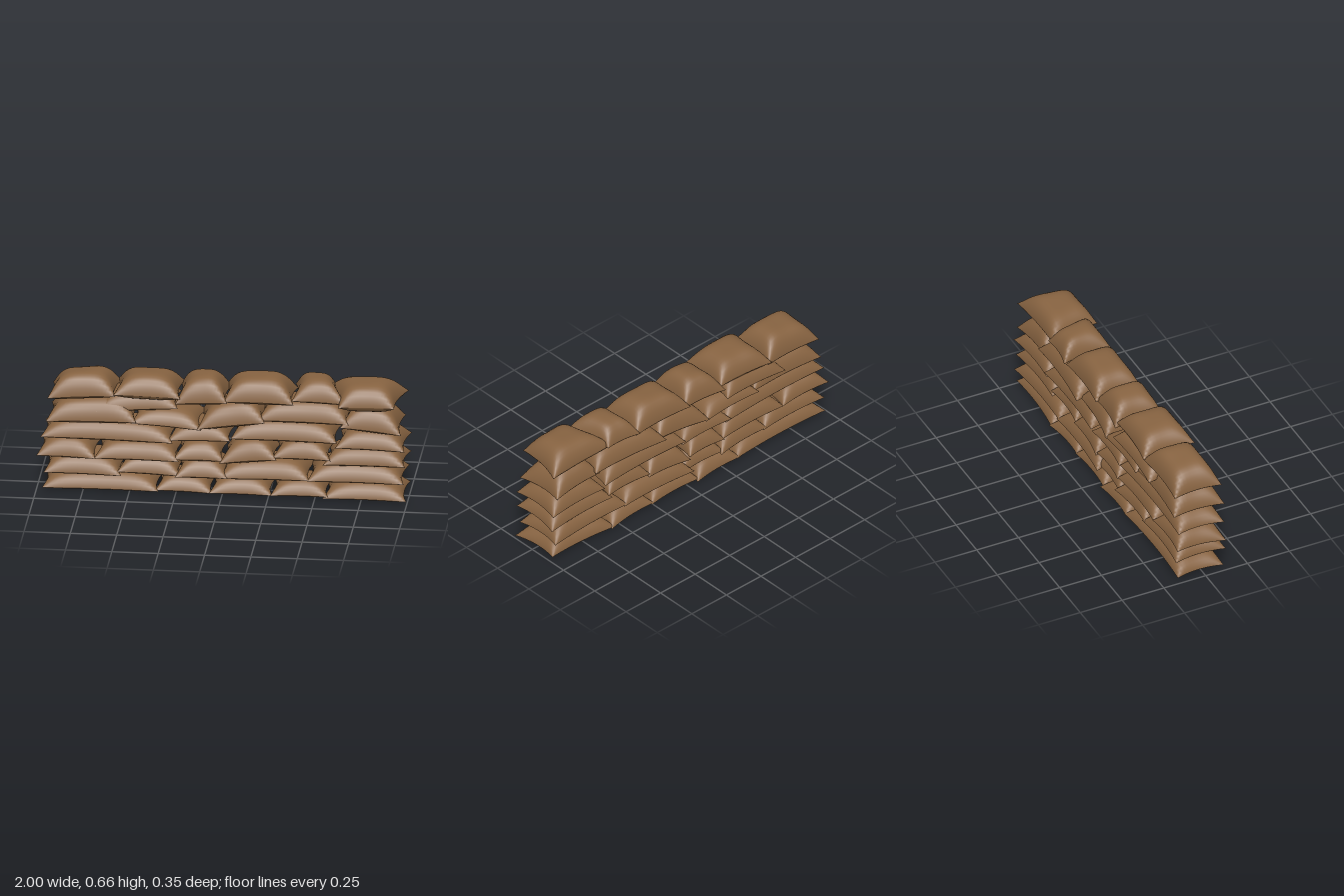
import * as THREE from 'three';
import { mergeGeometries } from 'three/addons/utils/BufferGeometryUtils.js';

// small seeded generator for slight irregularity, returns -1..1
function makeRandom(seed) {
  return () => {
    seed = (seed * 16807) % 2147483647;
    return (seed / 2147483647) * 2 - 1;
  };
}

// One filled sack: a domed upper sheet and a shallow lower sheet meeting at a pointed seam.
// x0..x1 length, y0..y1 height, tilt = rise from left to right end,
// skewL / skewR = how far each end leans forward along x, seam = seam height share
function sackGeometry({ x0, x1, y0, y1, tilt = 0, skewL = 0, skewR = 0, seam = 0.17, dz = 0 }, random) {
  const halfX = (x1 - x0) / 2 + 0.008;
  const halfZ = 0.145;
  const midX = (x0 + x1) / 2;
  const midZ = -0.015 + dz;
  const seamY = y0 + (y1 - y0) * seam;
  const power = Math.min(6, Math.max(3.2, (halfX / 0.17) * 3.4));
  // jitter of the four corners, blended across the sack
  const corners = [0, 1, 2, 3].map(() => [random() * 0.008, random() * 0.008, random() * 0.012]);
  const lump = random() * 2;

  const sheet = (top) => {
    const g = new THREE.PlaneGeometry(2, 2, 24, 18);
    g.rotateX(top ? -Math.PI / 2 : Math.PI / 2);
    const p = g.attributes.position;
    for (let i = 0; i < p.count; i++) {
      const u = Math.sin((p.getX(i) * Math.PI) / 2);
      const v = Math.sin((p.getZ(i) * Math.PI) / 2);
      const fill = Math.pow(Math.max(0, (1 - Math.abs(u) ** power) * (1 - v ** 4)), 0.68);
      // edges drawn in between the corners
      let x = midX + u * (halfX - 0.022 * (1 - v * v));
      let z = midZ + v * (halfZ - 0.014 * (1 - u * u));
      x += v * ((skewL * (1 - u)) / 2 + (skewR * (1 + u)) / 2);
      let y = seamY + (tilt * u) / 2;
      const wave = 1 + 0.04 * Math.sin(u * 3 + lump) * Math.cos(v * 2 - lump);
      y += top ? (y1 - seamY) * fill * wave : -(seamY - y0) * fill;
      corners.forEach(([cx, cy, cz], k) => {
        const w = ((1 + (k & 1 ? u : -u)) * (1 + (k & 2 ? v : -v))) / 4;
        x += cx * w;
        y += cy * w;
        z += cz * w;
      });
      p.setXYZ(i, x, Math.max(0, y), z);
    }
    g.computeVertexNormals();
    return g;
  };
  return mergeGeometries([sheet(true), sheet(false)]);
}

export function createModel() {
  const model = new THREE.Group();
  model.name = 'sandbagWall';
  const burlap = new THREE.MeshStandardMaterial({ color: 0x876341 });
  burlap.name = 'brownBurlap';
  const random = makeRandom(4711);

  // courses from the ground up: shared height, then [start, end, extras] for each sack
  const courses = [
    { y0: 0.005, y1: 0.102, sacks: [
      [-0.965, -0.345], [-0.36, -0.06], [-0.06, 0.27], [0.27, 0.565], [0.555, 0.985]] },
    { y0: 0.095, y1: 0.205, sacks: [
      [-0.955, -0.55], [-0.555, -0.23, { tilt: -0.01 }], [-0.24, 0.03, { dz: 0.02 }],
      [-0.01, 0.47], [0.465, 0.975]] },
    { y0: 0.188, y1: 0.298, sacks: [
      [-0.99, -0.685], [-0.68, -0.24], [-0.25, 0.0], [0.0, 0.29, { tilt: 0.02, y1: 0.315 }],
      [0.28, 0.58, { y0: 0.215, y1: 0.325 }], [0.56, 0.985]] },
    { y0: 0.29, y1: 0.402, sacks: [
      [-0.965, -0.27], [-0.28, 0.045, { y0: 0.3 }],
      [0.05, 0.62, { y0: 0.315, y1: 0.43, dz: -0.01 }], [0.62, 0.985]] },
    { y0: 0.388, y1: 0.525, sacks: [
      [-0.94, -0.47], [-0.48, -0.12, { y0: 0.378, y1: 0.475, tilt: -0.01 }],
      [-0.67, -0.25, { y0: 0.455, y1: 0.565, tilt: 0.03, dz: -0.015 }],
      [-0.12, 0.22, { y0: 0.39, y1: 0.53, tilt: 0.05 }],
      [0.2, 0.68, { y0: 0.42, y1: 0.545, dz: -0.015 }], [0.65, 0.955, { tilt: -0.02 }]] },
    { y0: 0.512, y1: 0.655, sacks: [
      [-0.935, -0.575, { tilt: 0.02 }], [-0.58, -0.23, { y1: 0.662, y0: 0.525, seam: 0.25 }],
      [-0.245, 0.03, { tilt: 0.01, y1: 0.66 }], [0.015, 0.385, { y1: 0.662, y0: 0.52 }],
      [0.375, 0.62, { skewR: 0.04, y1: 0.66, y0: 0.535 }],
      [0.6, 0.95, { skewL: 0.045, skewR: -0.02, y1: 0.66, seam: 0.3, dz: 0.015 }]] },
  ];

  courses.forEach(({ y0, y1, sacks }, row) => {
    const course = new THREE.Group();
    course.name = `course${row + 1}`;
    sacks.forEach(([x0, x1, extra], i) => {
      const sack = new THREE.Mesh(sackGeometry({ x0, x1, y0, y1, ...extra }, random), burlap);
      sack.name = `sandbag${row + 1}_${i + 1}`;
      course.add(sack);
    });
    model.add(course);
  });
  return model;
}
